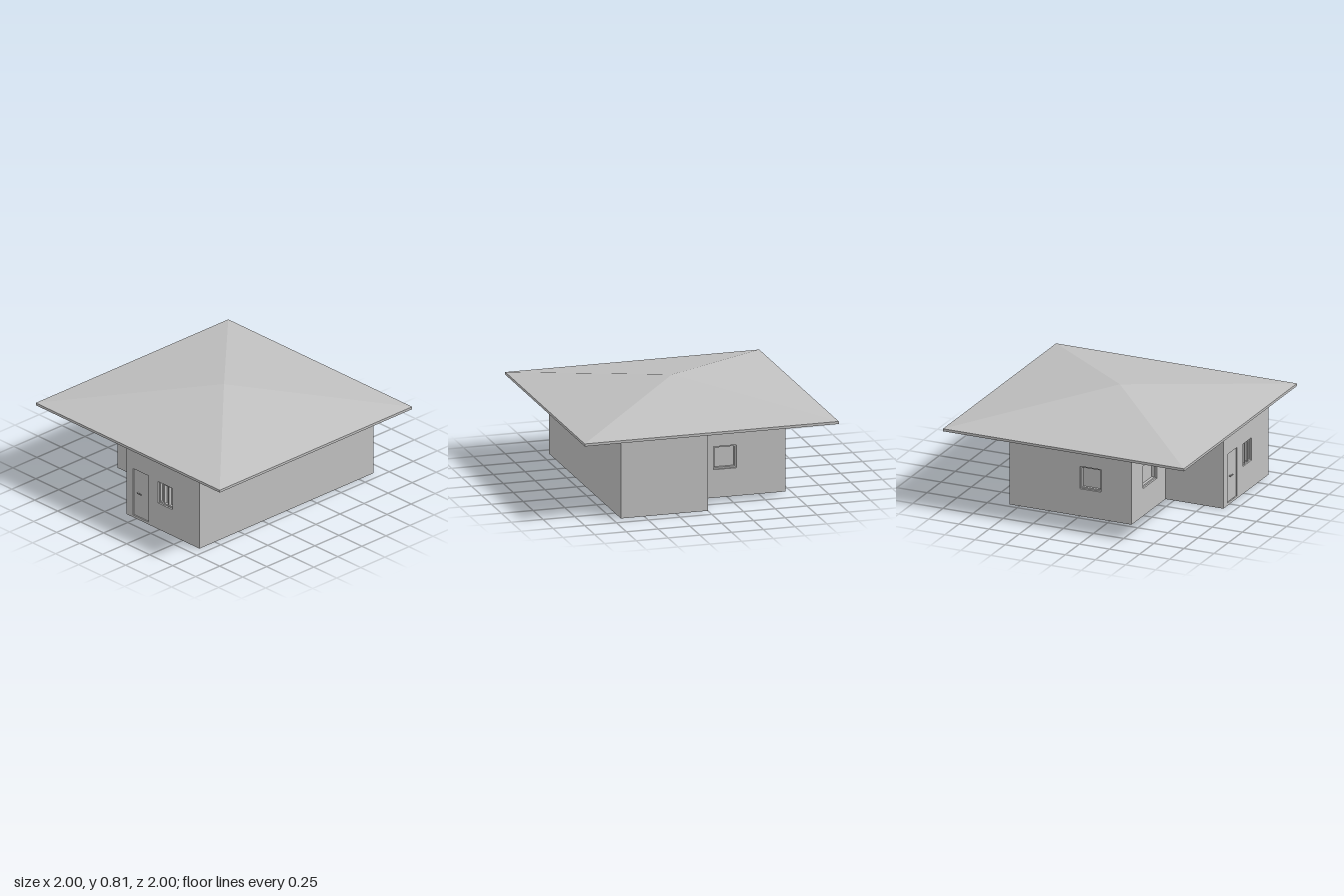
import * as THREE from 'three';

const WALL_H = 0.62, THICK = 0.05, EAVE = 0.64, RIDGE = 0.815;

// footprint corners as [x, z], running along the front towards +x first
const CORNERS = [
  [-0.11, 0.91], [0.685, 0.91], [0.685, -0.9], [0, -0.9],
  [0, -0.585], [-0.71, -0.585], [-0.71, 0.43], [-0.11, 0.43],
];

// openings by wall index: u is the distance along the wall
const windowAt = (u0, u1, bars = 0) => ({ kind: 'window', u0, u1, y0: 0.22, y1: 0.4, bars });
const OPENINGS = {
  0: [{ kind: 'door', u0: 0.075, u1: 0.24, y0: 0.02, y1: 0.41 }, windowAt(0.345, 0.5, 2)],
  4: [windowAt(0.145, 0.325)],
  5: [windowAt(0.585, 0.76)],
  6: [windowAt(0.2, 0.445)],
};

export function createModel() {
  const grey = new THREE.MeshStandardMaterial({ color: 0xc0c0c0, side: THREE.DoubleSide });
  grey.name = 'plain grey';
  const model = new THREE.Group();
  model.name = 'house';

  const add = (parent, name, geometry, x = 0, y = 0, z = 0) => {
    const mesh = new THREE.Mesh(geometry, grey);
    mesh.name = name;
    mesh.position.set(x, y, z);
    parent.add(mesh);
    return mesh;
  };
  const box = (parent, name, w, h, d, x, y, z) =>
    add(parent, name, new THREE.BoxGeometry(w, h, d), x, y, z);
  const rect = (path, x0, y0, x1, y1) => {
    path.moveTo(x0, y0).lineTo(x1, y0).lineTo(x1, y1).lineTo(x0, y1).closePath();
    return path;
  };

  // recessed pane with a slim frame and optional upright bars
  function addWindow(wall, o) {
    const w = o.u1 - o.u0, h = o.y1 - o.y0, cx = (o.u0 + o.u1) / 2, cy = (o.y0 + o.y1) / 2;
    const f = 0.012;
    box(wall, 'windowPane', w, h, 0.006, cx, cy, -0.04);
    for (const s of [-1, 1]) {
      box(wall, 'windowFrameSide', f, h, 0.025, cx + s * (w - f) / 2, cy, -0.027);
      box(wall, 'windowFrameRail', w, f, 0.025, cx, cy + s * (h - f) / 2, -0.027);
    }
    for (let i = 1; i <= o.bars; i++) {
      box(wall, 'windowBar', f, h, 0.03, o.u0 + (w * i) / (o.bars + 1), cy, -0.025);
    }
  }

  // nearly flush door leaf with a small lever handle
  function addDoor(wall, o) {
    const cx = (o.u0 + o.u1) / 2, cy = (o.y0 + o.y1) / 2;
    box(wall, 'door', o.u1 - o.u0, o.y1 - o.y0, 0.02, cx, cy, -0.02);
    box(wall, 'doorHandleStem', 0.01, 0.008, 0.014, o.u0 + 0.05, 0.22, -0.004);
    box(wall, 'doorHandle', 0.045, 0.008, 0.006, o.u0 + 0.067, 0.22, 0.002);
  }

  // walls, one slab per footprint edge with its openings cut through
  CORNERS.forEach(([x, z], i) => {
    const [x2, z2] = CORNERS[(i + 1) % CORNERS.length];
    const wall = new THREE.Group();
    wall.name = 'wall' + (i + 1);
    wall.position.set(x, 0, z);
    wall.rotation.y = Math.atan2(z - z2, x2 - x);
    const shape = rect(new THREE.Shape(), 0, 0, Math.hypot(x2 - x, z2 - z), WALL_H);
    const openings = OPENINGS[i] ?? [];
    for (const o of openings) {
      shape.holes.push(rect(new THREE.Path(), o.u0, o.y0, o.u1, o.y1));
      (o.kind === 'door' ? addDoor : addWindow)(wall, o);
    }
    const slab = new THREE.ExtrudeGeometry(shape, { depth: THICK, bevelEnabled: false });
    add(wall, 'wallSlab', slab, 0, 0, -THICK);
    model.add(wall);
  });

  // floor and ceiling follow the footprint
  const footprint = new THREE.Shape(CORNERS.map(([x, z]) => new THREE.Vector2(x, -z)));
  const plate = new THREE.ShapeGeometry(footprint).rotateX(-Math.PI / 2);
  add(model, 'floor', plate);
  add(model, 'ceiling', plate, 0, WALL_H);

  // hipped roof shell: upper slopes, sloping underside and fascia
  const faceted = (g) => {
    const flat = g.rotateY(Math.PI / 4).toNonIndexed();
    flat.computeVertexNormals();
    return flat;
  };
  const rise = RIDGE - EAVE, fascia = EAVE - WALL_H;
  const slopes = faceted(new THREE.ConeGeometry(Math.SQRT2, rise, 4, 1, true));
  const band = faceted(new THREE.CylinderGeometry(Math.SQRT2, Math.SQRT2, fascia, 4, 1, true));
  add(model, 'roofSlopes', slopes, 0, EAVE + rise / 2);
  add(model, 'roofUnderside', slopes, 0, WALL_H + rise / 2);
  add(model, 'roofFascia', band, 0, WALL_H + fascia / 2);

  return model;
}
